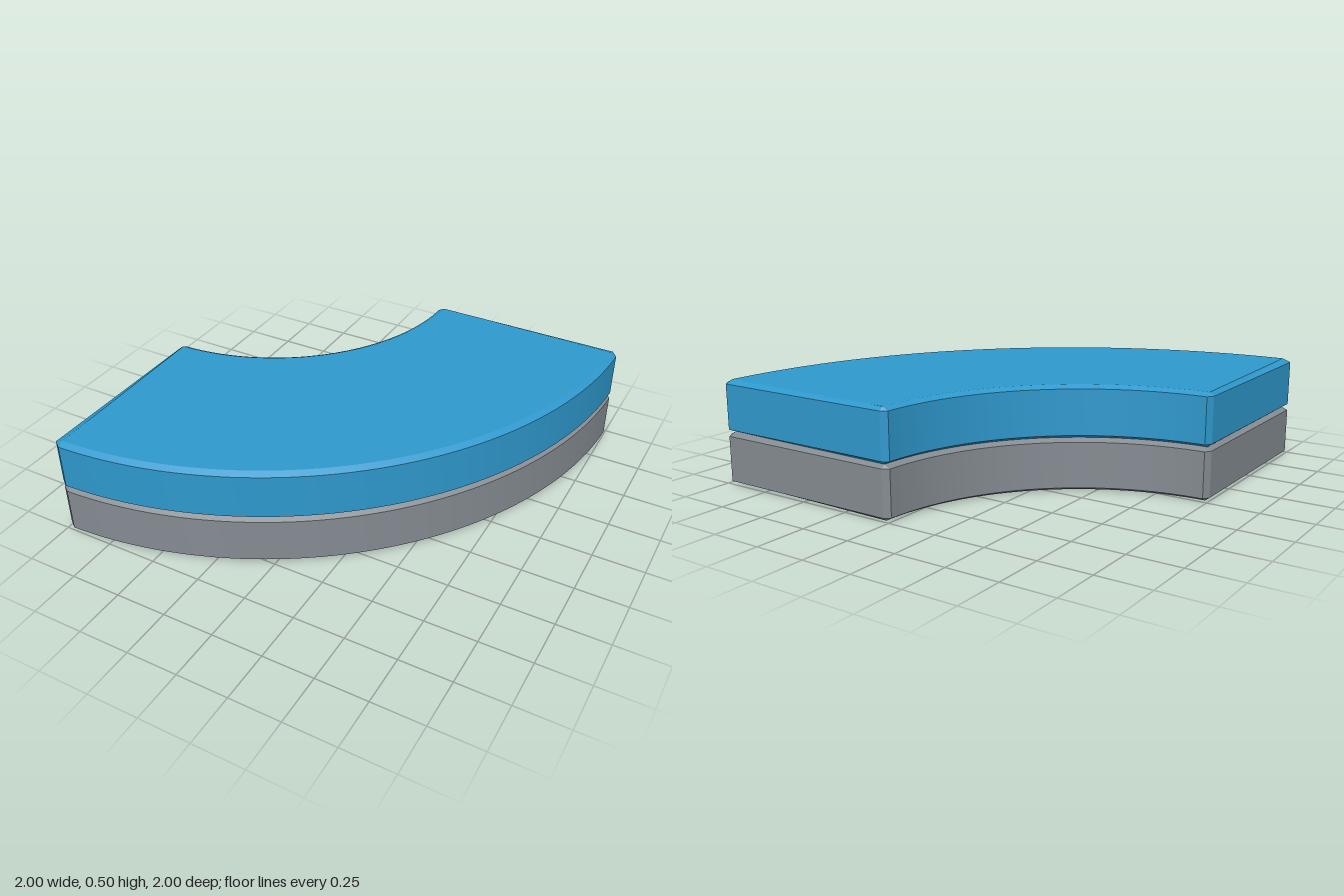
import * as THREE from 'three';
import { toCreasedNormals } from 'three/addons/utils/BufferGeometryUtils.js';

const INNER = 1, OUTER = 2;          // radii of the quarter bend
const BEVEL = 0.03, BEVEL_Y = 0.016; // chamfer across and up
const END_ANGLE = 0.02;              // chamfer along the arc
const SEGMENTS = 48;

// Chamfered slab bent through 90 degrees around the corner (-1, -1)
function bentSlab(y0, y1) {
  const a = INNER + BEVEL, b = OUTER - BEVEL;
  const lo = y0 + BEVEL_Y, hi = y1 - BEVEL_Y;
  const body = [[b, y0], [OUTER, lo], [OUTER, hi], [b, y1], [a, y1], [INNER, hi], [INNER, lo], [a, y0]];
  const cap = [[b, lo], [b, lo], [b, hi], [b, hi], [a, hi], [a, hi], [a, lo], [a, lo]];
  const place = (profile, t) => profile.map(([r, y]) =>
    new THREE.Vector3(-1 + r * Math.sin(t), y, -1 + r * Math.cos(t)));

  const end = Math.PI / 2;
  const rings = [place(cap, 0)];
  for (let i = 0; i <= SEGMENTS; i++) {
    rings.push(place(body, END_ANGLE + (end - 2 * END_ANGLE) * i / SEGMENTS));
  }
  rings.push(place(cap, end));

  const positions = [];
  const tri = (p, q, r) => {
    if (p.equals(q) || q.equals(r) || r.equals(p)) return;
    for (const v of [p, q, r]) positions.push(v.x, v.y, v.z);
  };

  // Walls, chamfers, top and bottom
  for (let k = 0; k < rings.length - 1; k++) {
    const s = rings[k], n = rings[k + 1];
    for (let i = 0; i < 8; i++) {
      const j = (i + 1) % 8;
      tri(s[i], n[i], s[j]);
      tri(n[i], n[j], s[j]);
    }
  }
  // End faces
  const f = rings[0], l = rings[rings.length - 1];
  tri(f[0], f[2], f[4]);
  tri(f[0], f[4], f[6]);
  tri(l[0], l[4], l[2]);
  tri(l[0], l[6], l[4]);

  const geometry = new THREE.BufferGeometry();
  geometry.setAttribute('position', new THREE.Float32BufferAttribute(positions, 3));
  return toCreasedNormals(geometry, 0.25);
}

export function createModel() {
  const group = new THREE.Group();
  group.name = 'curvedBlock';

  const grey = new THREE.MeshStandardMaterial({ color: 0x848b91 });
  grey.name = 'grey';
  const blue = new THREE.MeshStandardMaterial({ color: 0x2e98cc });
  blue.name = 'blue';

  const base = new THREE.Mesh(bentSlab(0, 0.25), grey);
  base.name = 'baseSlab';
  const top = new THREE.Mesh(bentSlab(0.25, 0.5), blue);
  top.name = 'topSlab';

  group.add(base, top);
  return group;
}
